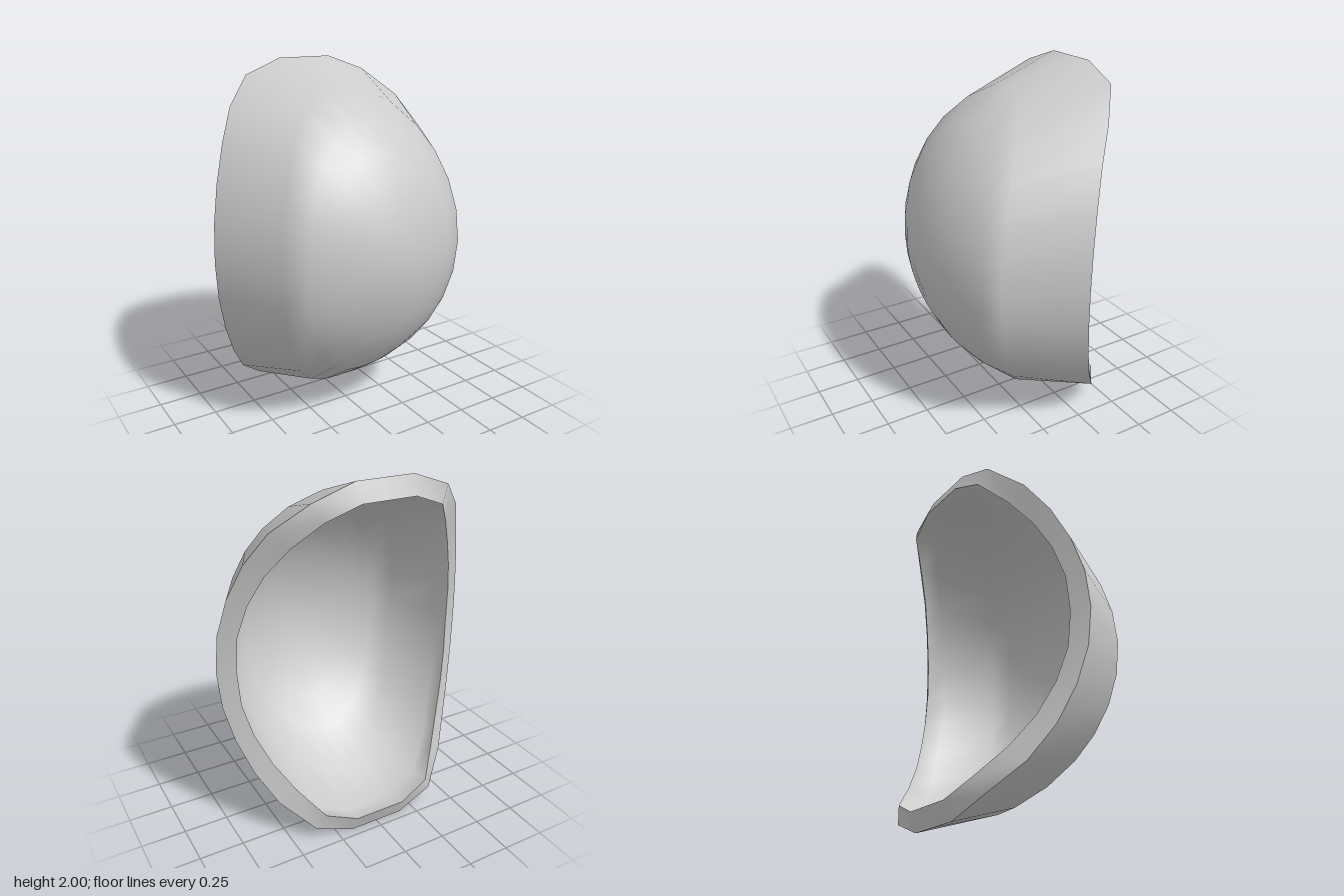
import * as THREE from 'three';
import { mergeVertices } from 'three/addons/utils/BufferGeometryUtils.js';

// Quarter of the rim, from the side (+x) up to the top; y is measured from mid-height
const OUTER_RIM = [[0.765, 0, -0.07], [0.75, 0.21, -0.085], [0.705, 0.41, -0.13], [0.635, 0.6, -0.2],
  [0.54, 0.77, -0.3], [0.38, 0.92, -0.43], [0.16, 1, -0.45], [0, 1, -0.45]];
const INNER_RIM = [[0.67, 0, -0.12], [0.66, 0.2, -0.135], [0.615, 0.38, -0.18], [0.545, 0.54, -0.245],
  [0.45, 0.69, -0.34], [0.33, 0.83, -0.46], [0.15, 0.9, -0.49], [0, 0.9, -0.49]];
const RADIUS = 1.012, CENTRE_Z = -0.522, INNER_SCALE = 0.975;

// Mirror a quarter into a closed loop, counterclockwise seen from the front
function fullLoop(quarter) {
  const flip = (list, sx, sy) => list.map(([x, y, z]) => [x * sx, y * sy, z]);
  const back = [...quarter].reverse();
  return [...quarter, ...flip(back.slice(1), -1, 1), ...flip(quarter.slice(1), -1, -1),
    ...flip(back.slice(1, -1), 1, -1)];
}

// Oval ring on the dome, one point per rim point
function domeRing(t) {
  return fullLoop(OUTER_RIM).map(([x, y]) => {
    const reach = t / Math.hypot(x / 0.765, y);
    const px = x * 0.735 * reach, py = y * 0.885 * reach;
    return [px, py, Math.sqrt(RADIUS * RADIUS - px * px - 1.04 * py * py) + CENTRE_Z];
  });
}

// Ring part of the way from one ring to another
const between = (from, to, t) => from.map((p, i) => p.map((v, k) => v + (to[i][k] - v) * t));

// Shrink a ring towards the dome's centre, for the inner skin
const inset = ring => ring.map(([x, y, z]) =>
  [x * INNER_SCALE, y * INNER_SCALE, (z - CENTRE_Z) * INNER_SCALE + CENTRE_Z]);

// Skin a list of closed rings
function loft(rings) {
  const n = rings[0].length, index = [];
  for (let k = 0; k < rings.length - 1; k++) {
    for (let j = 0; j < n; j++) {
      const a = k * n + j, b = k * n + (j + 1) % n;
      index.push(a, a + n, b + n, a, b + n, b);
    }
  }
  const position = rings.flat().flatMap(([x, y, z]) => [x, y + 1, z]);
  let geometry = new THREE.BufferGeometry();
  geometry.setAttribute('position', new THREE.Float32BufferAttribute(position, 3));
  geometry.setIndex(index);
  geometry = mergeVertices(geometry);
  geometry.computeVertexNormals();
  return geometry;
}

export function createModel() {
  const group = new THREE.Group();
  group.name = 'curvedShell';
  const material = new THREE.MeshStandardMaterial({ color: 0xcccccc, side: THREE.DoubleSide });
  const outerRim = fullLoop(OUTER_RIM), innerRim = fullLoop(INNER_RIM);
  const dome = [0, 0.23, 0.45, 0.64, 0.81, 1].map(domeRing);
  // The inner skin follows the outer wall, then turns in to the lip
  const hollow = [...dome, between(dome[5], outerRim, 0.75)].map(inset);

  const parts = {
    outerSkin: [...dome, outerRim],
    rim: [outerRim, innerRim],
    innerSkin: [innerRim, ...hollow.reverse()],
  };
  for (const [name, rings] of Object.entries(parts)) {
    const mesh = new THREE.Mesh(loft(rings), material);
    mesh.name = name;
    group.add(mesh);
  }
  return group;
}
